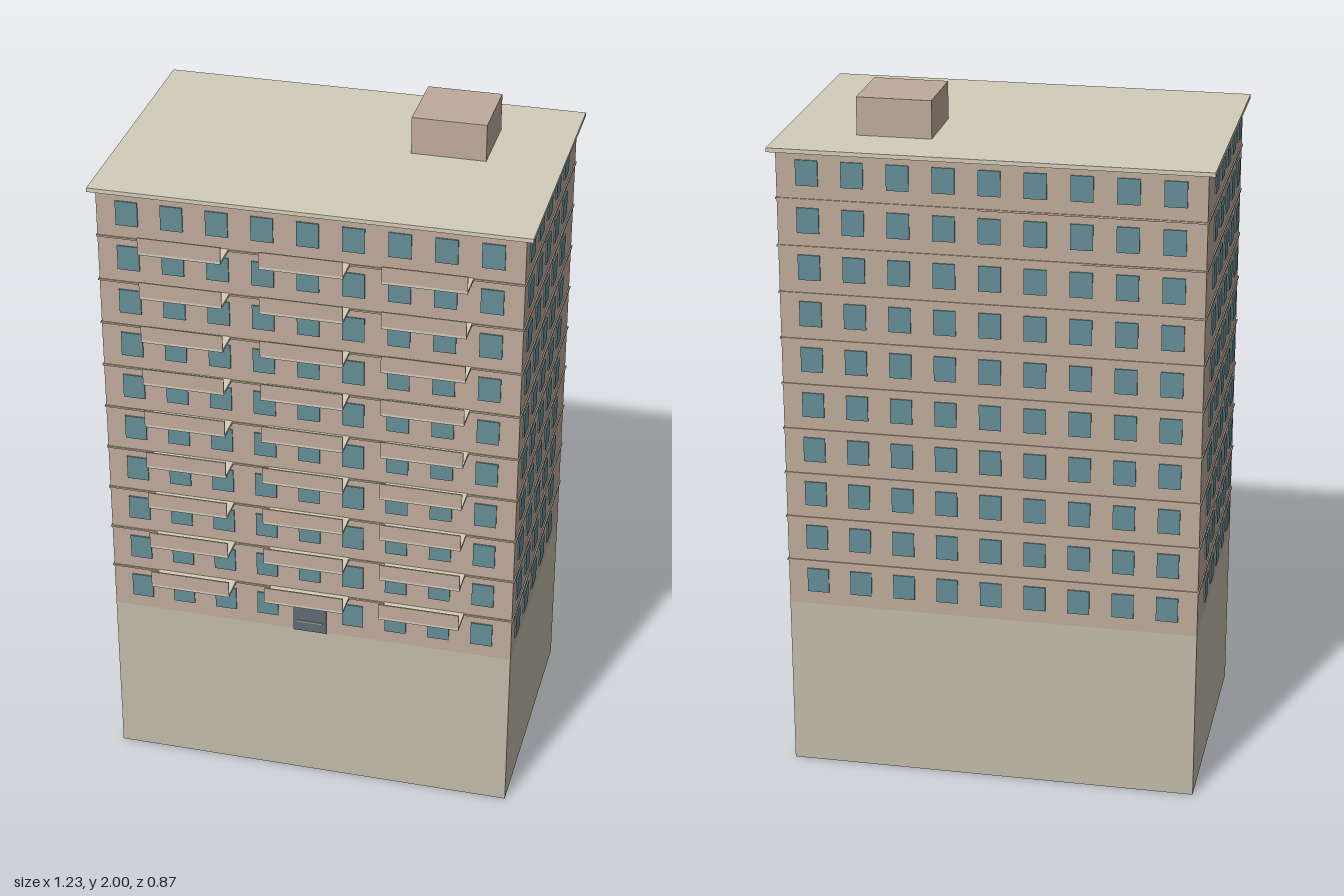
import * as THREE from 'three';

const material = (color) => new THREE.MeshStandardMaterial({ color });
const wall = material(0xbeaa9a);
const stone = material(0xc0baa8);
const concrete = material(0xd3ccbc);
const glass = material(0x648e97);
const doorPaint = material(0x5f6a72);
const metal = material(0x98a0a4);

// Main dimensions
const HALF_W = 0.597, FRONT = 0.354, BACK = -0.413;
const DEPTH = FRONT - BACK, MID_Z = (FRONT + BACK) / 2;
const BASE_TOP = 0.513, FLOOR_H = 0.1366, FLOORS = 10;
const WALL_TOP = BASE_TOP + FLOORS * FLOOR_H;
const BAY = 0.1275;

// Box placed by its centre in x and z and by its underside in y
function addBox(parent, name, mat, [w, h, d], [x, y, z]) {
  const mesh = new THREE.Mesh(new THREE.BoxGeometry(w, h, d), mat);
  mesh.position.set(x, y + h / 2, z);
  mesh.name = name;
  parent.add(mesh);
  return mesh;
}

function addGroup(parent, name) {
  const group = new THREE.Group();
  group.name = name;
  parent.add(group);
  return group;
}

export function createModel() {
  const building = new THREE.Group();
  building.name = 'apartmentBlock';

  // Plinth, tower, roof slab and roof house
  addBox(building, 'base', stone, [2 * HALF_W, BASE_TOP, DEPTH], [0, 0, MID_Z]);
  addBox(building, 'tower', wall, [2 * HALF_W, WALL_TOP - BASE_TOP, DEPTH], [0, BASE_TOP, MID_Z]);
  addBox(building, 'roofSlab', concrete, [1.234, 0.012, 0.807], [0, WALL_TOP, -0.034]);
  addBox(building, 'roofHouse', wall, [0.213, 2 - WALL_TOP - 0.012, 0.213], [0.297, WALL_TOP + 0.012, -0.162]);

  // Thin ledges between the storeys
  const ledges = addGroup(building, 'ledges');
  for (let i = 1; i < FLOORS; i++) {
    addBox(ledges, 'ledge', wall, [2 * HALF_W + 0.007, 0.005, DEPTH + 0.007],
      [0, BASE_TOP + i * FLOOR_H - 0.0025, MID_Z]);
  }

  // Windows: nine bays on front and back, five on each side
  const windows = addGroup(building, 'windows');
  const W = 0.063, H = 0.073, T = 0.008;
  for (let i = 0; i < FLOORS; i++) {
    const y = BASE_TOP + i * FLOOR_H + 0.04;
    for (let c = -4; c <= 4; c++) {
      const isDoorBay = i === 0 && c === 0;
      if (!isDoorBay) addBox(windows, 'frontWindow', glass, [W, H, T], [c * BAY, y, FRONT]);
      addBox(windows, 'backWindow', glass, [W, H, T], [c * BAY, y, BACK]);
    }
    for (let c = 0; c < 5; c++) {
      for (const side of [-1, 1]) {
        addBox(windows, side > 0 ? 'leftWindow' : 'rightWindow', glass, [T, H, W],
          [side * HALF_W, y, 0.268 - c * BAY]);
      }
    }
  }

  // Balconies: slab with an upright front panel, open at the ends
  const balconies = addGroup(building, 'balconies');
  for (let i = 1; i < FLOORS; i++) {
    for (const x of [-0.34, 0, 0.34]) {
      const balcony = addGroup(balconies, 'balcony');
      balcony.position.set(x, BASE_TOP + i * FLOOR_H - 0.004, 0);
      addBox(balcony, 'balconySlab', concrete, [0.234, 0.008, 0.432 - FRONT], [0, 0, (0.432 + FRONT) / 2]);
      addBox(balcony, 'balconyPanel', wall, [0.234, 0.044, 0.004], [0, 0.008, 0.431]);
    }
  }

  // Entrance door with a push bar
  const entrance = addGroup(building, 'entrance');
  addBox(entrance, 'door', doorPaint, [0.099, 0.126, 0.012], [0, BASE_TOP, FRONT]);
  addBox(entrance, 'doorBar', metal, [0.076, 0.005, 0.003], [0, 0.544, FRONT + 0.007]);

  return building;
}
